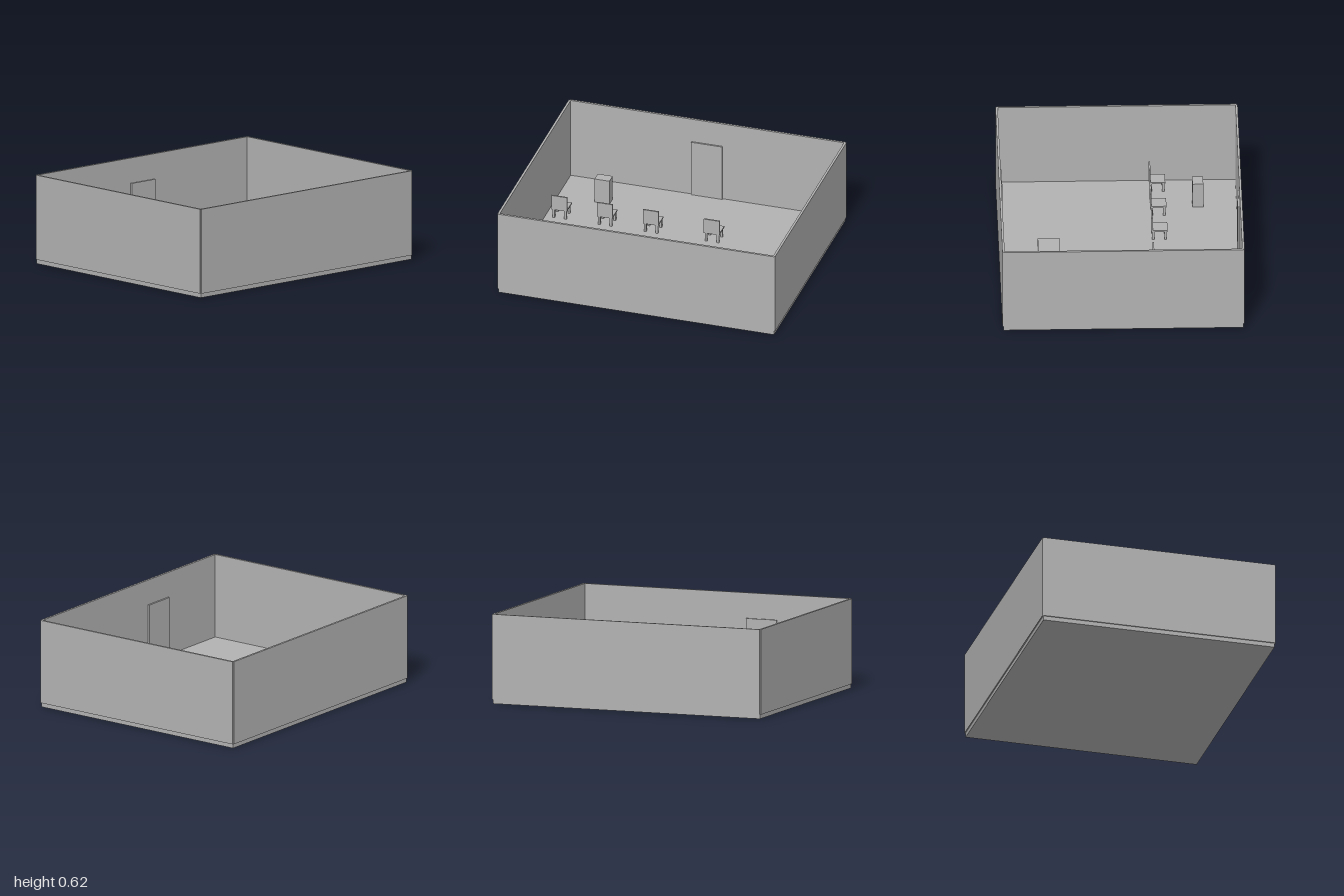
import * as THREE from 'three';

const grey = new THREE.MeshStandardMaterial({ color: 0xb2b2b2 });
grey.name = 'plain grey';

const FLOOR = 0.03;   // floor top
const TOP = 0.622;    // wall top
const HX = 0.992;     // floor half width
const HZ = 0.825;     // floor half depth
const WALL = 0.016;   // wall thickness

// Box given by its extents on each axis
function block(parent, name, [x0, x1], [y0, y1], [z0, z1]) {
  const mesh = new THREE.Mesh(new THREE.BoxGeometry(x1 - x0, y1 - y0, z1 - z0), grey);
  mesh.position.set((x0 + x1) / 2, (y0 + y1) / 2, (z0 + z1) / 2);
  mesh.name = name;
  parent.add(mesh);
  return mesh;
}

// Chair facing the back wall, standing on local y = 0
function makeChair() {
  const chair = new THREE.Group();
  chair.name = 'chair';
  const h = 0.0565, leg = 0.016, inset = 0.006;
  block(chair, 'seat', [-h, h], [0.065, 0.076], [-h, h]);
  block(chair, 'backrest', [-h, h], [0.076, 0.175], [h - 0.011, h]);
  for (const sx of [-1, 1]) {
    for (const sz of [-1, 1]) {
      const c = h - inset - leg / 2;
      block(chair, 'chairLeg', [sx * c - leg / 2, sx * c + leg / 2], [0, 0.065],
        [sz * c - leg / 2, sz * c + leg / 2]);
    }
  }
  return chair;
}

export function createModel() {
  const room = new THREE.Group();
  room.name = 'room';

  block(room, 'floor', [-HX, HX], [0, FLOOR], [-HZ, HZ]);

  // Walls are centred on the floor edges, leaving small notches at the corners
  const t = WALL / 2;
  for (const s of [-1, 1]) {
    block(room, s > 0 ? 'frontWall' : 'backWall', [-HX, HX], [FLOOR, TOP], [s * HZ - t, s * HZ + t]);
    block(room, s > 0 ? 'leftWall' : 'rightWall', [s * HX - t, s * HX + t], [FLOOR, TOP], [-HZ, HZ]);
  }

  // Doors stand slightly proud of the inner wall faces
  block(room, 'backDoor', [-0.113, 0.111], [FLOOR, 0.445], [-0.82, -0.806]);
  block(room, 'frontDoor', [-0.446, -0.218], [FLOOR, 0.445], [0.804, 0.82]);

  // Furniture
  block(room, 'counter', [0.032, 0.799], [FLOOR, 0.169], [0.417, 0.567]);
  block(room, 'cabinet', [-0.717, -0.61], [FLOOR, 0.212], [-0.588, -0.513]);

  for (const x of [-0.881, -0.553, -0.222, 0.217]) {
    const chair = makeChair();
    chair.position.set(x, FLOOR, -0.275);
    room.add(chair);
  }
  return room;
}
